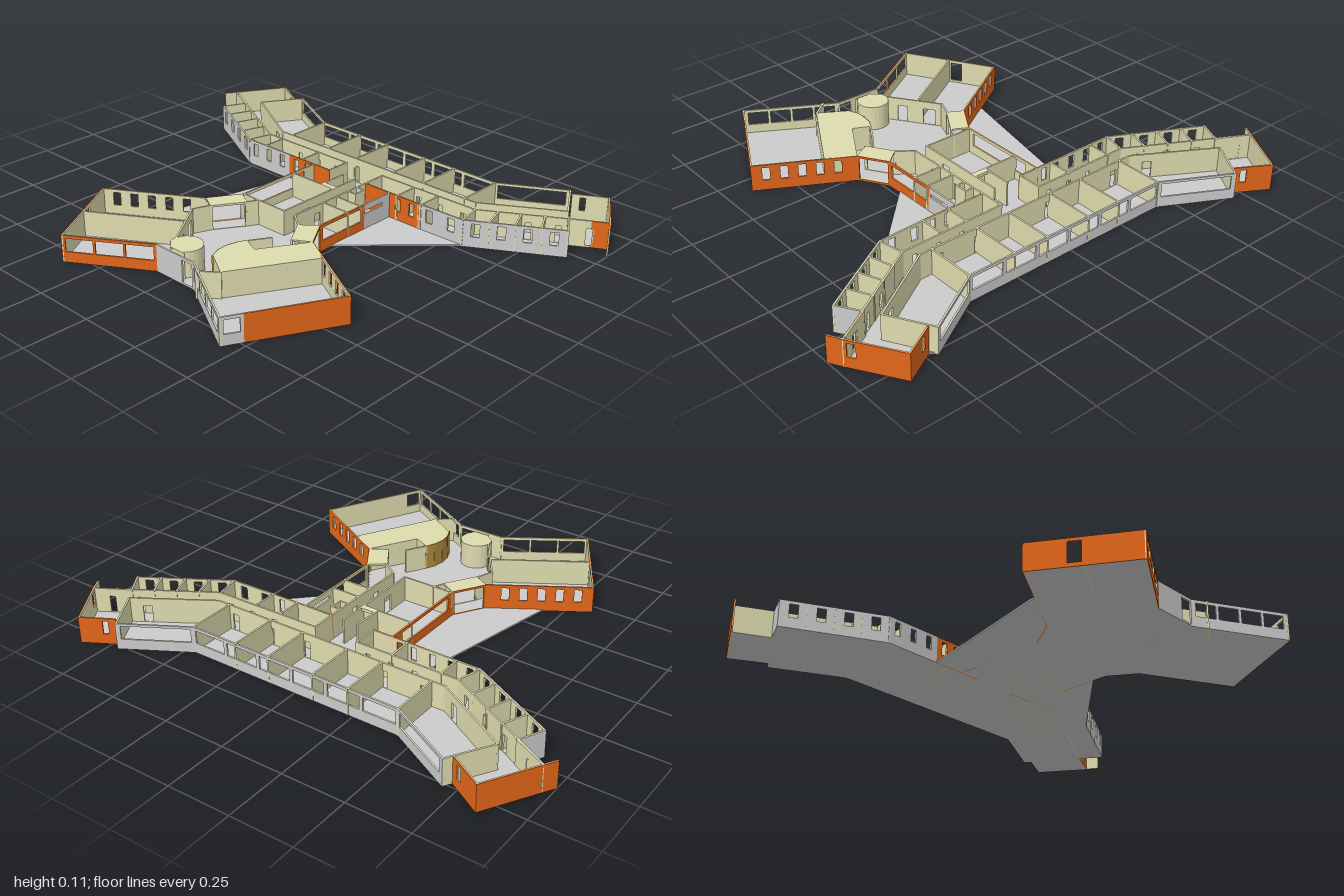
import * as THREE from 'three';

const H = 0.107, FLOOR = 0.006, T = 0.007;
const GREY = 0xcccccc, TAN = 0xdedbae, ORANGE = 0xe2661a, WOOD = 0xb08a3c;
const mats = {};
const mat = (c) => (mats[c] ??= new THREE.MeshStandardMaterial({ color: c }));

// Evenly spaced openings along a wall: [start, end, bottom, top], start and end as fractions
function row(n, width, from = 0, to = 1, y0 = 0.042, y1 = 0.095) {
  const step = (to - from) / n;
  return Array.from({ length: n }, (_, i) => {
    const c = from + (i + 0.5) * step;
    return [c - (width * step) / 2, c + (width * step) / 2, y0, y1];
  });
}
const door = (c, w) => [c - w / 2, c + w / 2, FLOOR + 0.002, 0.075];

export function createModel() {
  const model = new THREE.Group();

  // Flat prism over a plan outline of [x, z] points
  function prism(name, pts, y0, y1, color) {
    const shape = new THREE.Shape(pts.map(([x, z]) => new THREE.Vector2(x, -z)));
    const geo = new THREE.ExtrudeGeometry(shape, { depth: y1 - y0, bevelEnabled: false, curveSegments: 16 });
    geo.rotateX(-Math.PI / 2).translate(0, y0, 0);
    const mesh = new THREE.Mesh(geo, mat(color));
    mesh.name = name;
    model.add(mesh);
  }

  // Upright wall from p to q with openings; the outer skin lies on the left of +z when walking +x
  function wall(name, p, q, outer = TAN, holes = [], inner = TAN) {
    const dx = q[0] - p[0], dz = q[1] - p[1], len = Math.hypot(dx, dz);
    const shape = new THREE.Shape();
    shape.moveTo(-T / 2, 0).lineTo(len + T / 2, 0).lineTo(len + T / 2, H).lineTo(-T / 2, H).closePath();
    for (const [a, b, y0, y1] of holes) {
      const h = new THREE.Path();
      h.moveTo(a * len, y0).lineTo(a * len, y1).lineTo(b * len, y1).lineTo(b * len, y0).closePath();
      shape.holes.push(h);
    }
    const group = new THREE.Group();
    group.name = name;
    const layers = outer === inner ? [[outer, -T / 2, T]] : [[outer, 0, T / 2], [inner, -T / 2, T / 2]];
    for (const [color, z, depth] of layers) {
      const geo = new THREE.ExtrudeGeometry(shape, { depth, bevelEnabled: false }).translate(0, 0, z);
      group.add(new THREE.Mesh(geo, mat(color)));
    }
    group.position.set(p[0], 0, p[1]);
    group.rotation.y = Math.atan2(-dz, dx);
    model.add(group);
  }
  const mix = (a, b, t) => [a[0] + (b[0] - a[0]) * t, a[1] + (b[1] - a[1]) * t];

  // Floor slab
  prism('floor', [
    [-0.853, -0.807], [-0.72, -0.73], [-0.7, -0.76], [-0.435, -0.62], [0.46, -0.622], [0.71, -0.765],
    [0.735, -0.745], [0.853, -0.81], [0.97, -0.626], [0.84, -0.555], [0.895, -0.47], [0.57, -0.278],
    [0.227, 0.06], [0.227, 0.118], [0.297, 0.23], [0.645, 0.42], [0.44, 0.807], [0.11, 0.62],
    [-0.083, 0.62], [-0.38, 0.807], [-0.585, 0.46], [-0.43, 0.365], [-0.295, -0.27], [-0.53, -0.267],
    [-0.885, -0.45], [-0.84, -0.545], [-0.97, -0.61],
  ], 0, FLOOR, GREY);

  // Back wing: glazed rear walls
  wall('rearWallCentre', [0.46, -0.622], [-0.435, -0.62], GREY, row(6, 0.9));
  wall('rearWallRight', [-0.435, -0.62], [-0.7, -0.76], GREY, [[0.05, 0.95, 0.042, 0.097]]);
  wall('rearWallLeft', [0.71, -0.765], [0.46, -0.622], GREY, [[0.05, 0.95, 0.042, 0.097]]);

  // Orange wing ends with projecting fins
  wall('wingEndRearRight', [-0.72, -0.73], [-0.853, -0.807], ORANGE, [[0.2, 0.36, 0.042, 0.095]]);
  wall('wingEndRight', [-0.853, -0.807], [-0.97, -0.61], ORANGE);
  wall('finRight', [-0.97, -0.61], [-0.996, -0.567], ORANGE);
  wall('wingEndFrontRight', [-0.97, -0.61], [-0.84, -0.545], GREY, [door(0.45, 0.3)]);
  wall('wingEndRearLeft', [0.853, -0.81], [0.735, -0.745], ORANGE, [[0.64, 0.8, 0.042, 0.095]]);
  wall('wingEndLeft', [0.97, -0.626], [0.853, -0.81], ORANGE, [[0.06, 0.2, 0.042, 0.095]]);
  wall('finLeft', [0.996, -0.58], [0.97, -0.626], ORANGE);
  wall('wingEndFrontLeft', [0.84, -0.555], [0.97, -0.626], ORANGE, [door(0.5, 0.25)]);
  wall('wingInnerEndRight', [-0.7, -0.76], [-0.8, -0.6]);
  wall('wingInnerEndLeft', [0.71, -0.765], [0.805, -0.604]);

  // Front walls of the wing
  wall('frontRoomEndRight', [-0.84, -0.545], [-0.885, -0.45], GREY);
  wall('frontWallRight', [-0.885, -0.45], [-0.53, -0.267], GREY, row(4, 0.33));
  wall('frontWallCentreRight', [-0.53, -0.267], [-0.3, -0.267], GREY, row(3, 0.33));
  wall('frontWallOrangeRight', [-0.3, -0.267], [-0.08, -0.267], ORANGE, row(2, 0.4, 0.05, 0.6));
  wall('frontWallOrangeLeft', [0.105, -0.272], [0.37, -0.272], ORANGE, row(2, 0.35, 0.5, 1));
  wall('frontWallCentreLeft', [0.37, -0.272], [0.57, -0.278], GREY, row(2, 0.3));
  wall('frontWallLeft', [0.57, -0.278], [0.895, -0.47], GREY, row(4, 0.33));
  wall('frontRoomEndLeft', [0.895, -0.47], [0.84, -0.555], GREY);

  // Corridor walls
  const rearLine = [[-0.8, -0.6], [-0.49, -0.422], [0.515, -0.427], [0.805, -0.604]];
  for (let i = 0; i < 3; i++)
    wall('corridorRearWall', rearLine[i], rearLine[i + 1], TAN, i === 1 ? row(6, 0.16, 0, 1, 0.008, 0.075) : [door(0.8, 0.1)]);
  const frontLine = [[-0.97, -0.61], [-0.505, -0.364], [-0.08, -0.367], [0.105, -0.37], [0.55, -0.378], [0.955, -0.62]];
  for (const i of [0, 1, 3, 4])
    wall('corridorFrontWall', frontLine[i], frontLine[i + 1], TAN, row(3, 0.2, 0.3, 1, 0.008, 0.075));

  // Room dividers
  for (const x of [-0.435, -0.23, -0.08, 0.115, 0.265, 0.463])
    wall('rearRoomDivider', [x, -0.622], [x, -0.424]);
  for (const x of [-0.435, -0.23, -0.08, 0.105, 0.265, 0.38])
    wall('frontRoomDivider', [x, -0.367], [x, -0.27]);
  for (const t of [0, 0.25, 0.5, 0.75, 1]) {
    wall('wingRoomDivider', mix([-0.84, -0.545], [-0.505, -0.364], t), mix([-0.885, -0.45], [-0.53, -0.267], t));
    wall('wingRoomDivider', mix([0.84, -0.555], [0.55, -0.378], t), mix([0.895, -0.47], [0.57, -0.278], t));
  }

  // Neck between wing and hall
  wall('neckWallRight', [-0.163, -0.267], [-0.163, 0.125], ORANGE, [[0.15, 0.92, 0.042, 0.095]]);
  wall('neckWallLeft', [0.227, 0.118], [0.227, -0.12], ORANGE, [[0.06, 0.94, 0.042, 0.095]]);
  wall('neckWallLeftRear', [0.227, -0.12], [0.227, -0.272], GREY, [[0.05, 0.7, 0.068, 0.082]]);
  wall('neckCorridorWall', [0.105, -0.27], [0.105, 0.12], TAN, [door(0.35, 0.08), door(0.7, 0.08)]);
  wall('neckRoomRear', [-0.163, -0.147], [0.05, -0.147]);
  wall('neckRoomFront', [-0.163, 0.12], [0.05, 0.12]);
  wall('neckRoomSide', [0.05, -0.27], [0.05, 0.12], TAN, [door(0.7, 0.1)]);
  wall('neckDivider', [-0.012, -0.27], [-0.012, -0.147]);
  for (const z of [-0.105, -0.032]) wall('neckDivider', [0.105, z], [0.227, z]);
  wall('closetSide', [0.143, -0.22], [0.143, -0.17]);
  wall('closetFront', [0.105, -0.17], [0.143, -0.17]);
  wall('closetRear', [0.105, -0.22], [0.143, -0.22]);
  prism('neckShelf', [[-0.012, -0.168], [0.05, -0.168], [0.05, -0.147], [-0.012, -0.147]], 0.095, H, TAN);

  // Entrance porches with flat roofs
  prism('porchRoofRight', [[-0.163, 0.128], [-0.104, 0.16], [-0.18, 0.278], [-0.238, 0.246]], 0.1, H, TAN);
  prism('porchRoofLeft', [[0.168, 0.166], [0.227, 0.118], [0.297, 0.23], [0.233, 0.267]], 0.1, H, TAN);
  const open = [[0.06, 0.94, 0.008, 0.099]];
  wall('porchFrameRight', [-0.163, 0.128], [-0.238, 0.246], ORANGE, open);
  wall('porchInnerFrameRight', [-0.104, 0.16], [-0.18, 0.278], TAN, open);
  wall('porchFrameLeft', [0.297, 0.23], [0.227, 0.118], ORANGE, open);
  wall('porchInnerFrameLeft', [0.233, 0.267], [0.168, 0.166], TAN, open);

  // Hall walls
  wall('hallWall', [-0.083, 0.12], [-0.104, 0.16]);
  wall('hallWall', [0.105, 0.12], [0.168, 0.166]);
  wall('hallWall', [-0.18, 0.278], [-0.206, 0.345]);
  wall('hallWall', [-0.206, 0.345], [-0.147, 0.43], TAN, [door(0.5, 0.5)]);
  wall('hallWall', [-0.147, 0.43], [-0.03, 0.6], TAN, [door(0.3, 0.2)]);
  wall('hallWall', [0.17, 0.305], [0.125, 0.38]);
  wall('hallFront', [-0.083, 0.62], [0.045, 0.62], GREY);
  wall('hallFrontDoor', [0.045, 0.62], [0.11, 0.62], GREY, [[0.1, 0.9, 0.008, 0.095]]);

  // Right front block
  wall('rightBlockEnd', [-0.585, 0.46], [-0.38, 0.807], ORANGE, [[0.36, 0.48, 0.015, 0.095]]);
  wall('rightBlockRear', [-0.238, 0.246], [-0.585, 0.46], ORANGE, row(5, 0.42, 0.1, 0.95));
  wall('rightBlockFront', [-0.38, 0.807], [-0.083, 0.62], ORANGE, row(3, 0.92, 0.02, 0.98));
  wall('rightBlockDivider', [-0.48, 0.635], [-0.147, 0.43]);

  // Left front block
  wall('leftBlockFront', [0.11, 0.62], [0.44, 0.807], GREY, row(4, 0.88, 0.03, 0.97));
  wall('leftBlockEndGrey', [0.44, 0.807], [0.477, 0.737], GREY, [[0.15, 0.85, 0.042, 0.095]]);
  wall('leftBlockEnd', [0.477, 0.737], [0.645, 0.42], ORANGE);
  wall('leftBlockRear', [0.645, 0.42], [0.297, 0.23], ORANGE, row(5, 0.42, 0.05, 0.9));
  wall('leftBlockStub', [0.227, 0.604], [0.16, 0.655]);

  // Covered room with a rounded wooden end, and the round corner room
  const bow = [[0.125, 0.38], [0.108, 0.415], [0.1, 0.46], [0.104, 0.5], [0.12, 0.54]];
  prism('coveredRoom', [[0.19, 0.41], [0.297, 0.23], [0.404, 0.294], [0.227, 0.604], ...bow.slice().reverse()], FLOOR, H, TAN);
  for (let i = 0; i < 4; i++) wall('bowedWall', bow[i], bow[i + 1], WOOD, [], WOOD);
  const round = [[-0.03, 0.6]];
  for (let i = 0; i <= 16; i++) {
    const a = Math.PI * (1.12 - (i / 16) * 1.4);
    round.push([-0.01 + 0.063 * Math.cos(a), 0.547 - 0.063 * Math.sin(a)]);
  }
  prism('roundRoom', [...round, [0.04, 0.6]], FLOOR, H, TAN);

  return model;
}
